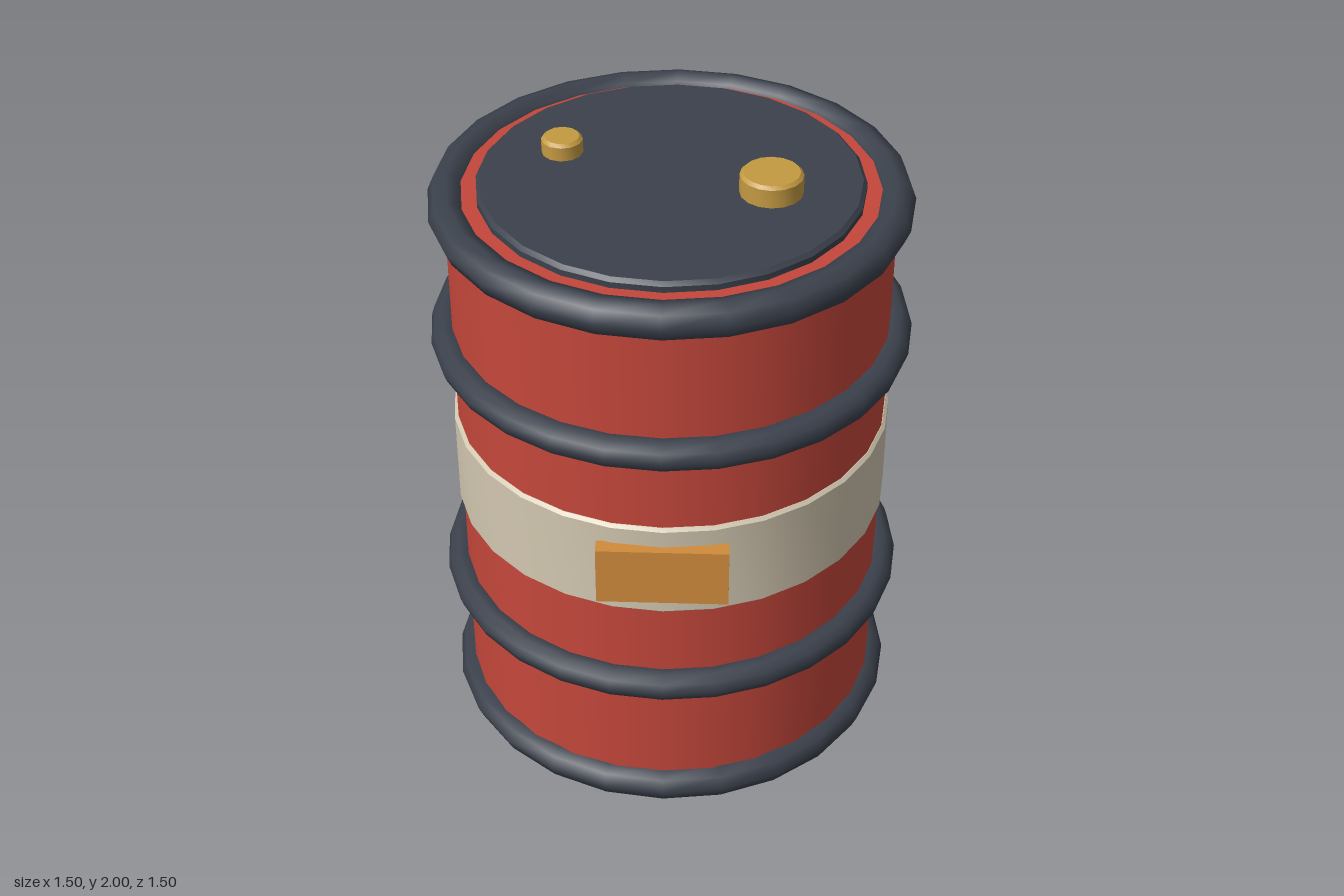
import * as THREE from 'three';
import { toCreasedNormals } from 'three/addons/utils/BufferGeometryUtils.js';

function material(name, color) {
  const m = new THREE.MeshStandardMaterial({ color });
  m.name = name;
  return m;
}

export function createModel() {
  const red = material('red paint', 0xc4473b);
  const dark = material('dark steel', 0x3b414c);
  const cream = material('cream band', 0xd2c7b0);
  const orange = material('orange label', 0xd08c3c);
  const brass = material('brass', 0xc49a42);

  const group = new THREE.Group();
  group.name = 'barrel';

  function add(name, geometry, mat, x = 0, y = 0, z = 0) {
    const mesh = new THREE.Mesh(geometry, mat);
    mesh.name = name;
    mesh.position.set(x, y, z);
    group.add(mesh);
    return mesh;
  }

  // Closed disc or drum with chamfered edges, standing on its local y = 0
  function drum(radius, height, bevel, segments) {
    const profile = [
      [0, 0], [radius - bevel, 0], [radius, bevel],
      [radius, height - bevel], [radius - bevel, height], [0, height],
    ].map(([r, y]) => new THREE.Vector2(r, y));
    return toCreasedNormals(new THREE.LatheGeometry(profile, segments), 0.6);
  }

  // Horizontal ring around the barrel
  function ring(name, radius, tube, sides, segments, y) {
    const geometry = new THREE.TorusGeometry(radius, tube, sides, segments);
    geometry.rotateX(-Math.PI / 2);
    add(name, geometry, dark, 0, y, 0);
  }

  // Shell
  add('body', new THREE.CylinderGeometry(0.685, 0.685, 1.87, 28), red, 0, 0.965, 0);

  // End rims and rolling hoops
  ring('bottomRim', 0.679, 0.057, 8, 24, 0.057);
  ring('topRim', 0.679, 0.057, 8, 24, 1.87);
  ring('lowerHoop', 0.702, 0.05, 10, 28, 0.513);
  ring('upperHoop', 0.702, 0.05, 10, 28, 1.418);

  // Painted band and front label
  add('band', drum(0.697, 0.33, 0.01, 28), cream, 0, 0.802, 0);
  add('label', new THREE.BoxGeometry(0.4, 0.197, 0.05), orange, 0, 0.967, 0.697);

  // Lid with two filler caps
  add('lid', drum(0.588, 0.05, 0.012, 24), dark, 0, 1.881, 0);
  add('largeCap', drum(0.096, 0.09, 0.01, 16), brass, 0.3, 1.91, 0.08);
  add('smallCap', drum(0.064, 0.075, 0.01, 12), brass, -0.337, 1.91, -0.137);

  return group;
}
